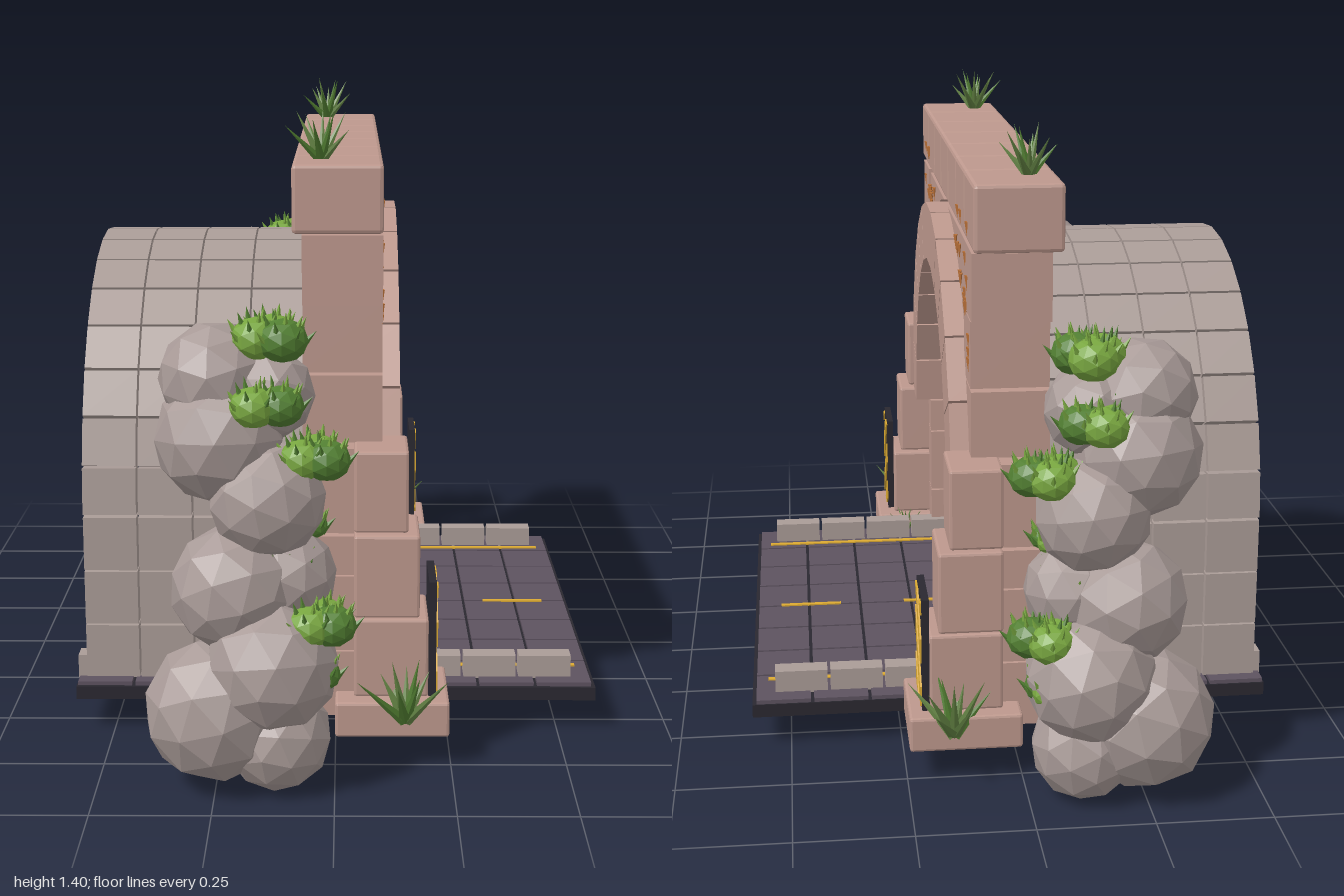
import * as THREE from 'three';
import { RoundedBoxGeometry } from 'three/addons/geometries/RoundedBoxGeometry.js';

const mat = (color, flatShading = true) => new THREE.MeshStandardMaterial({ color, flatShading, side: THREE.DoubleSide });
const M = {
  stone: mat(0xbd988d), tile: mat(0xaa9c97), road: mat(0x5d525f), dark: mat(0x2a2830), yellow: mat(0xdcaa32),
  rock: mat(0xa89a97), leaf: mat(0x78a640), leafDark: mat(0x527f32), grass: mat(0x648444), rust: mat(0xb87038), lamp: mat(0xf0b45c),
};
let seed = 7;
const rnd = () => (seed = (seed * 16807) % 2147483647) / 2147483647;
const UP = new THREE.Vector3(0, 1, 0);
const SPRING = 0.51; // height where the arches start

export function createModel() {
  const root = new THREE.Group();
  root.name = 'tunnelPortal';
  const part = (name) => {
    const g = new THREE.Group();
    g.name = name;
    root.add(g);
    return g;
  };
  const add = (g, name, geo, m, x = 0, y = 0, z = 0) => {
    const mesh = new THREE.Mesh(geo, m);
    mesh.name = name;
    mesh.position.set(x, y, z);
    g.add(mesh);
    return mesh;
  };
  // box given by its limits on each axis, optionally with softened edges
  const block = (g, name, m, x0, x1, y0, y1, z0, z1, r = 0) => {
    const [w, h, d] = [x1 - x0, y1 - y0, Math.abs(z1 - z0)];
    const geo = r ? new RoundedBoxGeometry(w, h, d, 1, r) : new THREE.BoxGeometry(w, h, d);
    return add(g, name, geo, m, (x0 + x1) / 2, (y0 + y1) / 2, (z0 + z1) / 2);
  };
  // prism along x from a [z, y] outline
  const prism = (g, name, m, pts, x0, x1) => {
    const shape = new THREE.Shape(pts.map(([z, y]) => new THREE.Vector2(-z, y)));
    const geo = new THREE.ExtrudeGeometry(shape, { depth: x1 - x0, bevelEnabled: false });
    return add(g, name, geo.rotateY(Math.PI / 2), m, x0);
  };

  // road: slab, paving and painted lines
  const road = part('road');
  block(road, 'slab', M.dark, -0.585, 0.585, 0.08, 0.11, -0.56, 0.56);
  for (let i = 0; i < 9; i++)
    for (let j = 0; j < 8; j++)
      block(road, 'paver', M.road, -0.582 + i * 0.1295, -0.46 + i * 0.1295, 0.105, 0.119, -0.557 + j * 0.1395, -0.425 + j * 0.1395);
  for (const s of [-1, 1]) {
    block(road, 'edgeLine', M.yellow, -0.575, 0.55, 0.118, 0.122, s * 0.438, s * 0.452);
    for (let i = 0; i < 9; i++)
      block(road, 'curb', M.tile, -0.585 + i * 0.125, -0.467 + i * 0.125, 0.115, 0.168, s * 0.47, s * 0.515);
  }
  for (const x of [-0.57, -0.25, 0.06, 0.37]) block(road, 'dash', M.yellow, x, x + 0.15, 0.118, 0.122, -0.006, 0.006);

  // tiled tunnel vault with straight lower walls
  const vault = part('vault');
  for (let i = 0; i < 4; i++) {
    const x = -0.5 + i * 0.1225;
    for (let k = 0; k < 16; k++) {
      const a = ((k + 0.5) * Math.PI) / 16;
      const t = add(vault, 'vaultTile', new THREE.BoxGeometry(0.118, 0.05, 0.104), M.tile, x, SPRING + 0.535 * Math.sin(a), 0.535 * Math.cos(a));
      t.rotation.x = Math.PI / 2 - a;
    }
    for (const s of [-1, 1])
      for (let k = 0; k < 3; k++)
        block(vault, 'wallTile', M.tile, x - 0.059, x + 0.059, 0.135 + k * 0.125, 0.256 + k * 0.125, s * 0.51, s * 0.56);
  }
  for (const s of [-1, 1])
    for (const x of [-0.365, -0.05]) block(vault, 'wallPost', M.dark, x - 0.01, x + 0.01, 0.12, 0.61, s * 0.476, s * 0.515);

  // stepped end wall with two lit windows
  const wall = part('endWall');
  [0.48, 0.48, 0.48, 0.48, 0.42, 0.325, 0.065].forEach((half, row) => {
    for (let c = -4; c <= 4; c++) {
      const z0 = Math.max(-half, c * 0.13 - 0.065), z1 = Math.min(half, c * 0.13 + 0.065);
      if (z1 - z0 > 0.01)
        block(wall, 'endTile', M.tile, -0.42, -0.385, 0.122 + row * 0.126, 0.243 + row * 0.126, z0 + 0.003, z1 - 0.003);
    }
  });
  for (const z of [0.183, -0.172]) {
    block(wall, 'windowFrame', M.dark, -0.39, -0.365, 0.537, 0.625, z - 0.038, z + 0.038, 0.008);
    for (const d of [-0.013, 0.013]) block(wall, 'windowPane', M.lamp, -0.375, -0.361, 0.552, 0.61, z + d - 0.01, z + d + 0.01);
  }

  // portal arch ring of wedge stones
  const ring = part('archRing');
  for (let k = 0; k < 13; k++) {
    const a0 = (k * Math.PI) / 13 + 0.004, a1 = ((k + 1) * Math.PI) / 13 - 0.004;
    const p = (r, a) => [r * Math.cos(a), SPRING + r * Math.sin(a)];
    prism(ring, 'wedgeStone', M.stone, [p(0.49, a0), p(0.628, a0), p(0.628, a1), p(0.49, a1)], -0.04, 0.14);
  }

  // coursed pillars, thinner spandrels between them, and the cap row
  const portal = part('portalWall');
  const levels = [0.1, 0.25, 0.42, SPRING, 0.7, 0.85, 1.0, 1.152];
  const arcZ = (y) => Math.sqrt(Math.max(0, 0.634 ** 2 - (y - SPRING) ** 2));
  // stone whose inner edge follows the arch but never comes nearer the middle than limit
  const course = (name, s, y0, y1, outer, limit, x0, x1) => {
    const pts = [[s * outer, y1], [s * outer, y0]];
    for (let k = 0; k <= 8; k++) {
      const y = y0 + ((y1 - y0) * k) / 8;
      pts.push([s * (y < SPRING ? limit : Math.max(limit, arcZ(y))), y]);
    }
    prism(portal, name, M.stone, pts, x0, x1);
  };
  for (const s of [-1, 1]) {
    for (let i = 0; i < 7; i++)
      course('pillarStone', s, levels[i] + 0.002, levels[i + 1] - 0.002, [0.7, 0.7, 0.7, 0.69, 0.65, 0.635, 0.668][i], 0.49, -0.07, 0.1);
    course('spandrel', s, 0.93, 1.0, 0.486, 0, 0.02, 0.096);
    course('spandrel', s, 1.003, 1.142, 0.486, 0.02, 0.02, 0.096);
    // buttress stones stepping outward toward the ground
    block(portal, 'plinth', M.stone, 0, 0.245, 0.08, 0.158, s * 0.55, s * 0.77, 0.006);
    block(portal, 'buttress', M.stone, 0.04, 0.2, 0.16, 0.335, s * 0.57, s * 0.74, 0.006);
    block(portal, 'buttress', M.stone, 0.04, 0.18, 0.34, 0.522, s * 0.575, s * 0.745, 0.006);
    block(portal, 'buttress', M.stone, 0.04, 0.155, 0.527, 0.704, s * 0.59, s * 0.74, 0.006);
    // rust flecks
    for (let i = 0; i < 18; i++) {
      const z = 0.3 + rnd() * 0.32, onCap = i > 14;
      const y = onCap ? 1.17 + rnd() * 0.04 : 1.12 - rnd() * Math.max(0, z - 0.28) * 0.8;
      const f = add(portal, 'rustFleck', new THREE.ConeGeometry(0.014, 0.034, 3), M.rust, 0.1, y, s * z);
      f.scale.x = 0.4;
      f.rotation.x = Math.PI;
    }
  }
  for (let i = 0; i < 7; i++)
    block(portal, 'capStone', M.stone, -0.09, 0.1, 1.157, 1.3, -0.708 + i * 0.2023, -0.508 + i * 0.2023, 0.008);

  // hazard boards with diagonal stripes
  const boards = part('hazardBoards');
  for (const s of [-1, 1]) {
    const w = 0.136, h = 0.238, b = 0.055;
    block(boards, 'board', M.dark, 0.2, 0.216, 0.165, 0.42, s * 0.594, s * 0.744);
    for (let k = -0.12; k < h; k += 0.11) {
      const u0 = Math.max(0, -k - b), u1 = Math.min(w, h - k), low = [], high = [];
      for (let i = 0; i <= 24; i++) {
        const u = u0 + ((u1 - u0) * i) / 24, z = s * (0.737 - u);
        low.push([z, 0.173 + THREE.MathUtils.clamp(u + k, 0, h)]);
        high.unshift([z, 0.173 + THREE.MathUtils.clamp(u + k + b, 0, h)]);
      }
      prism(boards, 'stripe', M.yellow, [...low, ...high], 0.21, 0.22);
    }
  }

  // boulders piled beside the portal: x, y, z, radius
  const rocks = part('boulders'), plants = part('plants');
  const pile = [
    [-0.25, 0.175, 0.84, 0.152], [-0.12, 0.12, 0.85, 0.115], [-0.13, 0.28, 0.86, 0.142], [-0.21, 0.43, 0.81, 0.135],
    [-0.1, 0.45, 0.78, 0.105], [-0.14, 0.62, 0.8, 0.125], [-0.24, 0.74, 0.76, 0.138], [-0.25, 0.86, 0.73, 0.12], [-0.14, 0.83, 0.74, 0.1],
  ];
  const bushes = [
    [-0.13, 0.95, 0.76, 0.08], [-0.14, 0.825, 0.83, 0.075], [-0.04, 0.71, 0.81, 0.075], [-0.06, 0.55, 0.75, 0.045],
    [-0.1, 0.475, 0.79, 0.07], [-0.03, 0.375, 0.87, 0.075], [-0.05, 0.27, 0.88, 0.06],
  ];
  // leafy clump: three lobes with small pointed leaves
  const bush = (x, y, z, r) => {
    for (let l = 0; l < 3; l++) {
      const a = l * 2.1 + rnd(), c = new THREE.Vector3(x + Math.cos(a) * r * 0.4, y, z + Math.sin(a) * r * 0.4), q = r * 0.68;
      add(plants, 'bushLobe', new THREE.IcosahedronGeometry(q, 1), l ? M.leaf : M.leafDark, c.x, c.y, c.z).scale.y = 0.85;
      for (let i = 0; i < 14; i++) {
        const t = i * 2.4, e = 0.1 + (i / 14) * 1.3;
        const d = new THREE.Vector3(Math.cos(t) * Math.cos(e), Math.sin(e), Math.sin(t) * Math.cos(e));
        const leaf = add(plants, 'leaf', new THREE.ConeGeometry(0.01, 0.045, 4), i % 3 ? M.leaf : M.leafDark, c.x + d.x * q, c.y + d.y * q * 0.85, c.z + d.z * q);
        leaf.quaternion.setFromUnitVectors(UP, d.add(new THREE.Vector3(0, 0.9, 0)).normalize());
      }
    }
  };
  // grass tuft of tapering blades leaning outward
  const tuft = (x, y, z, h, n = 11) => {
    for (let i = 0; i < n; i++) {
      const t = i * 2.4, lean = 0.2 + (i / n) * 0.75;
      const geo = new THREE.ConeGeometry(h * 0.1, h, 4).translate(0, h / 2, 0).scale(1, 0.9 + rnd() * 0.3, 0.4);
      const d = new THREE.Vector3(Math.cos(t) * Math.sin(lean), Math.cos(lean), Math.sin(t) * Math.sin(lean));
      add(plants, 'grassBlade', geo, i % 3 ? M.grass : M.leafDark, x, y, z).quaternion.setFromUnitVectors(UP, d);
    }
  };
  for (const s of [-1, 1]) {
    for (const [x, y, z, r] of pile)
      add(rocks, 'boulder', new THREE.IcosahedronGeometry(r, 1), M.rock, x, y, s * z).rotation.set(rnd() * 3, rnd() * 3, rnd() * 3);
    for (const [x, y, z, r] of bushes) bush(x, y, s * z, r);
    tuft(-0.03, 1.295, s * 0.58, 0.1);
    tuft(0.15, 0.12, s * 0.78, 0.13);
    tuft(0.17, 0.115, s * 0.54, 0.07, 7);
  }
  return root;
}
